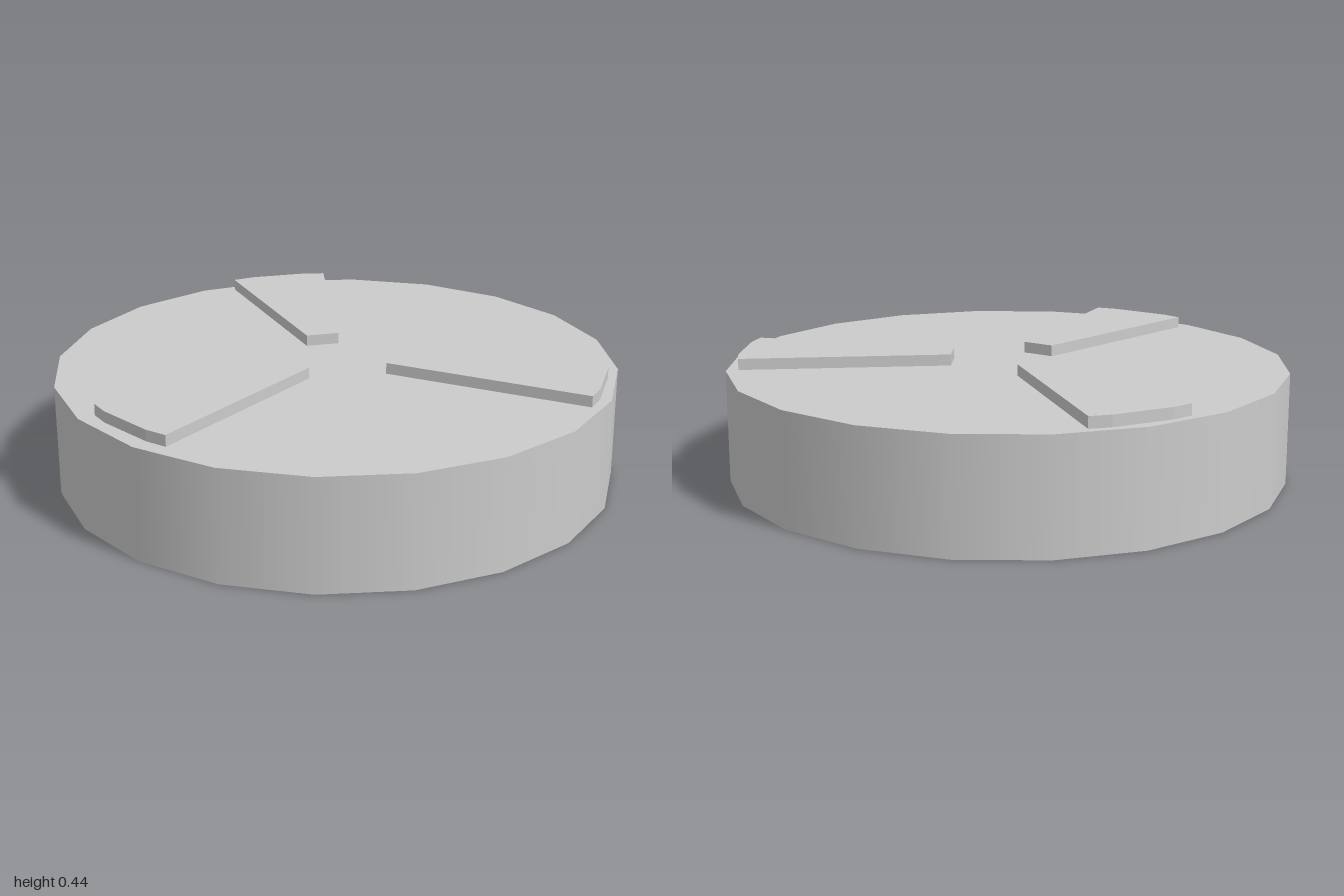
import * as THREE from 'three';

export function createModel() {
  const model = new THREE.Group();
  const material = new THREE.MeshStandardMaterial({ color: 0xcccccc });

  // Thick round body: twenty sides, smooth around the rim, sharp at the caps
  const body = new THREE.Mesh(new THREE.CylinderGeometry(1, 1, 0.4, 20), material);
  body.name = 'discBody';
  body.position.y = 0.2;
  model.add(body);

  // Raised wedge, narrow at the hub and blunt at the rim, pointing to the back
  const outline = [
    [-0.06, 0.2], [0.06, 0.2], [0.184, 0.939],
    [0.109, 0.955], [-0.109, 0.955], [-0.187, 0.938],
  ].map(([x, y]) => new THREE.Vector2(x, y));
  const wedge = new THREE.ExtrudeGeometry(new THREE.Shape(outline), {
    depth: 0.05, bevelEnabled: false,
  });
  wedge.rotateX(-Math.PI / 2);

  // Three wedges a third of a turn apart; the left-hand one sits slightly inward
  const places = [
    ['backWedge', 0, 0, 0],
    ['frontLeftWedge', -1, 0, 0],
    ['frontRightWedge', 1, 0.012, -0.02],
  ];
  for (const [name, turn, x, z] of places) {
    const mesh = new THREE.Mesh(wedge, material);
    mesh.name = name;
    mesh.rotation.y = turn * Math.PI * 2 / 3;
    mesh.position.set(x, 0.39, z);
    model.add(mesh);
  }
  return model;
}
